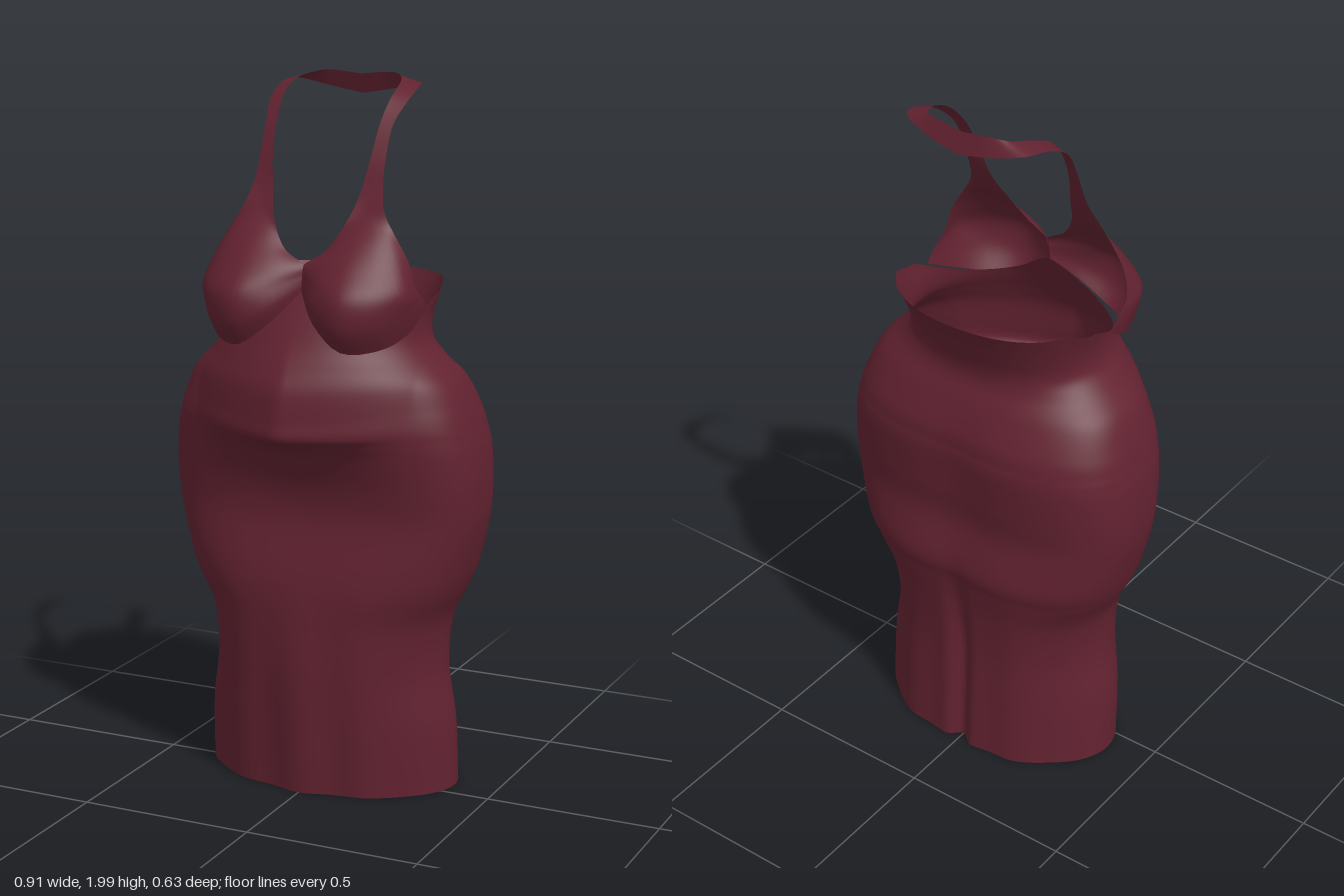
import * as THREE from 'three';

const { smoothstep, lerp } = THREE.MathUtils;

// Smoothly resample a list of equal-length number rows at t in 0..1 (uniform Catmull-Rom)
function sample(rows, t) {
  const f = t * (rows.length - 1), i = Math.min(Math.floor(f), rows.length - 2), u = f - i;
  const at = (k) => rows[Math.max(0, Math.min(rows.length - 1, k))];
  const [a, b, c, d] = [at(i - 1), at(i), at(i + 1), at(i + 2)];
  return b.map((_, k) => 0.5 * (2 * b[k] + (c[k] - a[k]) * u
    + (2 * a[k] - 5 * b[k] + 4 * c[k] - d[k]) * u * u
    + (3 * b[k] - a[k] - 3 * c[k] + d[k]) * u * u * u));
}

// Grid surface from point(u, v); closed joins the u ends
function surface(nu, nv, point, closed = false) {
  const pos = [], index = [], cols = closed ? nu : nu + 1;
  for (let j = 0; j <= nv; j++)
    for (let i = 0; i < cols; i++) pos.push(...point(i / nu, j / nv));
  for (let j = 0; j < nv; j++)
    for (let i = 0; i < nu; i++) {
      const k = (i + 1) % cols;
      const a = j * cols + i, b = j * cols + k, c = a + cols, d = b + cols;
      index.push(a, b, d, a, d, c);
    }
  const g = new THREE.BufferGeometry();
  g.setAttribute('position', new THREE.Float32BufferAttribute(pos, 3));
  g.setIndex(index);
  g.computeVertexNormals();
  return g;
}

// Dress rings: y, half width, front z, back z, belly peak, front and back squareness (2 = ellipse)
const RINGS = [
  [0.015, 0.375, 0.175, -0.295, 0, 1.9, 1.9],
  [0.2, 0.37, 0.188, -0.285, 0, 1.9, 1.9],
  [0.36, 0.345, 0.198, -0.28, 0, 2, 2],
  [0.5, 0.352, 0.198, -0.285, 0, 2.2, 2.2],
  [0.6, 0.395, 0.193, -0.295, 0, 2.5, 2.4],
  [0.67, 0.42, 0.183, -0.303, 0, 2.7, 2.5],
  [0.8, 0.45, 0.157, -0.277, 0, 3.1, 2.7],
  [0.9, 0.456, 0.165, -0.283, 0.005, 3.2, 2.7],
  [0.99, 0.452, 0.19, -0.29, 0.03, 2.9, 2.7],
  [1.035, 0.444, 0.208, -0.292, 0.067, 2.65, 2.7],
  [1.06, 0.438, 0.217, -0.29, 0.1, 2.5, 2.7],
  [1.11, 0.424, 0.218, -0.285, 0.096, 2.4, 2.6],
  [1.19, 0.39, 0.218, -0.255, 0.084, 2.3, 2.5],
  [1.25, 0.335, 0.217, -0.228, 0.053, 2.2, 2.3],
  [1.3, 0.295, 0.212, -0.228, 0.025, 2.2, 2.2],
  [1.36, 0.288, 0.195, -0.25, 0.005, 2.2, 2.2],
  [1.44, 0.3, 0.152, -0.293, 0, 2.2, 2.2],
];
const CUT = 13 / 16; // height along the rings where the front starts to follow the cup seams

function dressPoint(u, v) {
  const angle = u * Math.PI * 2, s = Math.sin(angle), c = Math.cos(angle);
  // the front top edge dips beneath each cup and peaks between them
  const dip = c > 0 ? 0.47 * Math.abs(Math.sin(2 * angle)) : 0;
  const height = v > CUT ? CUT + (v - CUT) * (1 - dip) : v;
  const [y, w, front, back, peak, nFront, nBack] = sample(RINGS, height);
  const mid = (front + back) / 2 * 0.7 - 0.02;
  const power = 2 / (c > 0 ? nFront : nBack);
  const x = w * Math.sign(s) * Math.abs(s) ** power;
  const depth = Math.abs(c) ** power;
  // soft folds that fade in towards the hem
  const fade = 1 - smoothstep(y, 0.15, 0.75);
  const fold = 1 + fade * 0.03 * Math.cos(x * 31) * Math.abs(c);
  let z, rim;
  if (c > 0) {
    // pointed belly with an overhanging lip
    z = mid + (front - mid) * depth * fold + peak * Math.max(0, 1 - Math.abs(x) / 0.32);
    rim = -0.018 * s * s;
  } else {
    // two rear lobes with a cleft that deepens into a fold at the hem
    const lobe = 1 - smoothstep(y, 1, 1.25);
    const cleft = lobe * 0.055 * Math.exp(-((x / 0.11) ** 2))
      + (1 - smoothstep(y, 0.3, 0.75)) * 0.16 * Math.exp(-((x / 0.03) ** 2));
    z = mid + (back - mid) * depth * (1 + 0.055 * lobe - cleft) * fold;
    rim = lerp(-0.018, 0.012, smoothstep(-c, 0, 0.4));
  }
  const lift = 0.6 * peak * s * s * Math.max(0, c) * (1 - smoothstep(y, 1.06, 1.25));
  return [x, y + lift + rim * smoothstep(y, 1.33, 1.44), z];
}

// Cup and strap: each row runs from the neckline edge to the outer edge
const CUP = [
  [[0, 1.44, 0.155], [0.06, 1.365, 0.212], [0.15, 1.298, 0.232], [0.24, 1.302, 0.18], [0.288, 1.335, 0.1], [0.302, 1.39, 0]],
  [[0, 1.455, 0.155], [0.07, 1.4, 0.235], [0.16, 1.36, 0.264], [0.25, 1.37, 0.215], [0.3, 1.395, 0.125], [0.305, 1.42, 0.03]],
  [[0, 1.48, 0.15], [0.08, 1.45, 0.23], [0.16, 1.44, 0.264], [0.245, 1.44, 0.222], [0.302, 1.45, 0.15], [0.302, 1.46, 0.08]],
  [[0, 1.51, 0.14], [0.07, 1.51, 0.19], [0.15, 1.51, 0.213], [0.22, 1.51, 0.19], [0.27, 1.52, 0.14], [0.285, 1.53, 0.09]],
  [[0.06, 1.55, 0.135], [0.1, 1.565, 0.15], [0.15, 1.575, 0.153], [0.2, 1.58, 0.14], [0.235, 1.585, 0.115], [0.25, 1.59, 0.09]],
];
// Strap rows: neckline edge, outer edge
const STRAP = [
  [[0.105, 1.62, 0.105], [0.21, 1.655, 0.08]],
  [[0.13, 1.7, 0.062], [0.192, 1.72, 0.05]],
  [[0.147, 1.8, 0.027], [0.187, 1.8, 0.02]],
  [[0.154, 1.88, -0.012], [0.19, 1.88, -0.02]],
  [[0.16, 1.945, -0.07], [0.204, 1.935, -0.08]],
  [[0.157, 1.98, -0.14], [0.206, 1.97, -0.155]],
  [[0.13, 1.995, -0.2], [0.185, 1.975, -0.215]],
  [[0.085, 2, -0.222], [0.1, 1.955, -0.24]],
  [[0, 1.992, -0.226], [0, 1.937, -0.246]],
];
const ROWS = CUP.concat(STRAP.map(([a, b]) =>
  [0, 1, 2, 3, 4, 5].map((i) => a.map((n, k) => lerp(n, b[k], i / 5)))));

function halterPoint(u, v, side) {
  const [x, y, z] = sample(ROWS.map((row) => sample(row, u)), v);
  return [side * x, y, z];
}

export function createModel() {
  const group = new THREE.Group();
  const wine = new THREE.MeshStandardMaterial({ color: 0x622230, side: THREE.DoubleSide });
  wine.name = 'wine red cloth';
  const add = (name, geometry) => {
    const mesh = new THREE.Mesh(geometry, wine);
    mesh.name = name;
    group.add(mesh);
  };

  // fitted body from hem to the open back edge
  add('dressBody', surface(180, 112, dressPoint, true));

  // mirrored cups running into the neck strap
  add('leftCupAndStrap', surface(20, 78, (u, v) => halterPoint(u, v, 1)));
  add('rightCupAndStrap', surface(20, 78, (u, v) => halterPoint(1 - u, v, -1)));
  return group;
}
